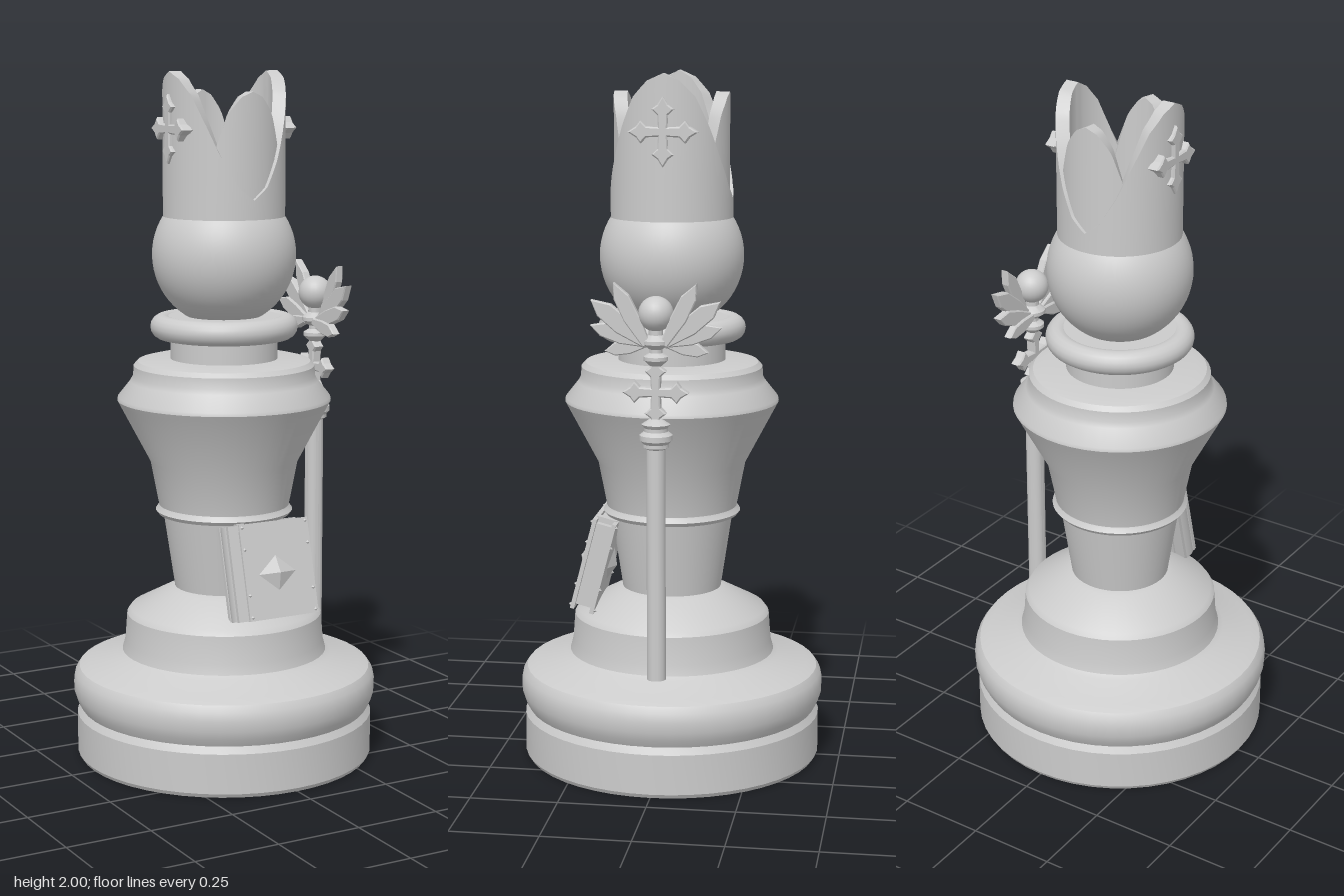
import * as THREE from 'three';
import { toCreasedNormals } from 'three/addons/utils/BufferGeometryUtils.js';

const mat = new THREE.MeshStandardMaterial({ color: 0xcccccc });

function add(parent, name, geo, x = 0, y = 0, z = 0) {
  const m = new THREE.Mesh(geo, mat);
  m.name = name;
  m.position.set(x, y, z);
  parent.add(m);
  return m;
}

const lathe = (pts, seg = 48) =>
  toCreasedNormals(new THREE.LatheGeometry(pts.map(p => new THREE.Vector2(...p)), seg), 0.5);

// Flat plate, centred in depth, drawn with u along +z and v along y
function plate(pts, depth, bevel = 0.004) {
  const g = new THREE.ExtrudeGeometry(new THREE.Shape(pts.map(p => new THREE.Vector2(...p))), {
    depth: depth - 2 * bevel, bevelEnabled: true, bevelSize: bevel, bevelThickness: bevel, bevelSegments: 1,
  });
  g.translate(0, 0, -depth / 2 + bevel);
  g.rotateY(-Math.PI / 2);
  return g;
}

// Cross with four flared, pointed arms
function crossPlate(s, depth) {
  const arm = [[0.009, 0.009], [0.011, 0.048], [0.026, 0.062], [0.012, 0.072], [0, 0.092],
    [-0.012, 0.072], [-0.026, 0.062], [-0.011, 0.048]];
  const pts = [];
  for (let i = 0; i < 4; i++) {
    const c = Math.round(Math.cos(i * Math.PI / 2)), k = Math.round(Math.sin(i * Math.PI / 2));
    for (const [x, y] of arm) pts.push([s * (x * c - y * k), s * (x * k + y * c)]);
  }
  return plate(pts, depth);
}

// Linear lookup in a short [angle, height] table
function lookup(table, a) {
  for (let i = 1; i < table.length; i++) {
    const [a0, y0] = table[i - 1], [a1, y1] = table[i];
    if (a <= a1) return y0 + (y1 - y0) * (a - a0) / (a1 - a0);
  }
  return table[table.length - 1][1];
}

// Thick round wall whose upper rim follows the height rule
function wall(rIn, rOut, y0, top, seg = 96) {
  const pos = [], idx = [];
  for (let i = 0; i <= seg; i++) {
    const t = i / seg * Math.PI * 2, h = top(t);
    for (const [r, y] of [[rOut, y0], [rOut, h], [rIn, h], [rIn, y0]])
      pos.push(r * Math.cos(t), y, r * Math.sin(t));
    if (i < seg) for (let k = 0; k < 4; k++) {
      const a = i * 4 + k, b = i * 4 + (k + 1) % 4;
      idx.push(a, b, a + 4, b, b + 4, a + 4);
    }
  }
  const g = new THREE.BufferGeometry();
  g.setAttribute('position', new THREE.Float32BufferAttribute(pos, 3));
  g.setIndex(idx);
  return toCreasedNormals(g, 0.6);
}

function makeCrown() {
  const crown = new THREE.Group();
  crown.name = 'crown';
  const deg = 180 / Math.PI;
  // Tall petals at the sides, shorter petals inside at front and back
  const side = [[0, 2], [15, 1.98], [30, 1.935], [45, 1.85], [60, 1.755], [75, 1.68], [90, 1.645]];
  const mid = [[0, 1.945], [12, 1.93], [25, 1.885], [37, 1.79], [48, 1.7], [60, 1.62], [90, 1.62]];
  add(crown, 'sidePetals', wall(0.137, 0.175, 1.59, t => lookup(side, Math.acos(Math.min(1, Math.abs(Math.cos(t)))) * deg)));
  add(crown, 'frontAndBackPetals', wall(0.126, 0.165, 1.59, t => lookup(mid, Math.acos(Math.min(1, Math.abs(Math.sin(t)))) * deg)));
  for (const s of [1, -1]) add(crown, 'crownCross', crossPlate(1, 0.035), s * 0.167, 1.84, 0);
  return crown;
}

function makeStaff() {
  const staff = new THREE.Group();
  staff.name = 'staff';
  staff.position.x = 0.307;
  add(staff, 'staffPole', lathe([[0, 0.31], [0.027, 0.31], [0.027, 0.975], [0.036, 0.98], [0.036, 0.99],
    [0.046, 1.0], [0.046, 1.015], [0.033, 1.025], [0.033, 1.035], [0.04, 1.045], [0.018, 1.06], [0, 1.065]], 20));
  add(staff, 'staffCross', crossPlate(0.95, 0.03), 0, 1.135, 0);
  add(staff, 'staffCup', lathe([[0, 1.2], [0.018, 1.21], [0.034, 1.225], [0.034, 1.235], [0.018, 1.245],
    [0.018, 1.255], [0.038, 1.27], [0.038, 1.28], [0.02, 1.295], [0.02, 1.32], [0, 1.32]], 20));
  add(staff, 'staffOrb', new THREE.SphereGeometry(0.049, 24, 16), 0, 1.353, 0);
  // Feathers fan out on both sides: tip z, tip y, half width, x offset
  const feathers = [[0.115, 1.435, 0.02, 0.012], [0.178, 1.385, 0.024, 0.003],
    [0.18, 1.315, 0.02, -0.006], [0.14, 1.245, 0.017, -0.014]];
  for (const s of [1, -1]) {
    const wing = new THREE.Group();
    wing.name = s > 0 ? 'frontWing' : 'backWing';
    staff.add(wing);
    for (const [tz, ty, w, off] of feathers) {
      const rz = 0.025, ry = 1.27, dz = tz - rz, dy = ty - ry, l = Math.hypot(dz, dy);
      const at = (f, k) => [s * (rz + dz * f - dy / l * w * k), ry + dy * f + dz / l * w * k];
      add(wing, 'feather', plate([at(0, -0.4), at(0.45, -1), at(0.8, -0.8), at(1, 0.1), at(0.75, 1), at(0.4, 0.9), at(0, 0.4)],
        0.024, 0.003), off, 0, 0);
    }
  }
  return staff;
}

function makeBook() {
  const book = new THREE.Group();
  book.name = 'book';
  book.position.set(0.027, 0.59, 0.208);
  book.rotation.x = -0.255;
  const box = (n, w, h, d, x, y, z) => add(book, n, new THREE.BoxGeometry(w, h, d), x, y, z);
  box('pages', 0.235, 0.25, 0.048, 0, 0, 0);
  for (const s of [1, -1]) {
    box('cover', 0.225, 0.276, 0.012, 0.019, 0, s * 0.029);
    box('spineHinge', 0.032, 0.272, 0.012, -0.112, 0, s * 0.026);
    // Corner and edge studs
    for (const x of [-0.085, 0.123]) for (const y of [-0.128, -0.065, 0.065, 0.128])
      add(book, 'stud', new THREE.OctahedronGeometry(0.006), x, y, s * 0.036);
    // Raised diamond on each cover
    const gem = add(book, 'diamond', toCreasedNormals(new THREE.OctahedronGeometry(1), 0.1), 0.012, -0.01, s * 0.035);
    gem.scale.set(0.06, 0.05, 0.02);
  }
  const spine = add(book, 'spine', new THREE.CylinderGeometry(0.03, 0.03, 0.27, 12), -0.112, 0, 0);
  spine.scale.x = 0.6;
  for (const x of [-0.085, 0.085]) box('clasp', 0.022, 0.022, 0.06, x, 0.13, 0);
  return book;
}

export function createModel() {
  const model = new THREE.Group();
  model.name = 'chessPiece';

  add(model, 'base', lathe([[0, 0], [0.428, 0], [0.435, 0.012], [0.435, 0.128], [0.424, 0.148], [0.436, 0.17],
    [0.444, 0.195], [0.445, 0.225], [0.44, 0.25], [0.428, 0.268], [0.4, 0.28], [0.315, 0.305], [0.3, 0.315],
    [0.292, 0.345], [0.286, 0.425], [0.275, 0.44], [0.16, 0.5], [0.14, 0.508], [0, 0.508]]));
  add(model, 'body', lathe([[0, 0.48], [0.142, 0.49], [0.177, 0.722], [0.192, 0.724], [0.2, 0.735],
    [0.192, 0.746], [0.19, 0.75], [0.215, 0.88], [0.302, 1.045], [0.31, 1.06], [0.308, 1.07], [0.272, 1.115],
    [0.264, 1.13], [0.262, 1.16], [0.25, 1.173], [0.22, 1.18], [0, 1.18]]));
  add(model, 'neck', new THREE.CylinderGeometry(0.155, 0.155, 0.1, 48), 0, 1.215, 0);
  const collar = add(model, 'collar', new THREE.TorusGeometry(0.178, 0.035, 16, 48), 0, 1.273, 0);
  collar.rotation.x = Math.PI / 2;
  add(model, 'collarCore', new THREE.CylinderGeometry(0.17, 0.17, 0.06, 48), 0, 1.273, 0);
  add(model, 'head', new THREE.SphereGeometry(0.207, 48, 32), 0, 1.48, 0);

  model.add(makeCrown(), makeStaff(), makeBook());
  return model;
}
